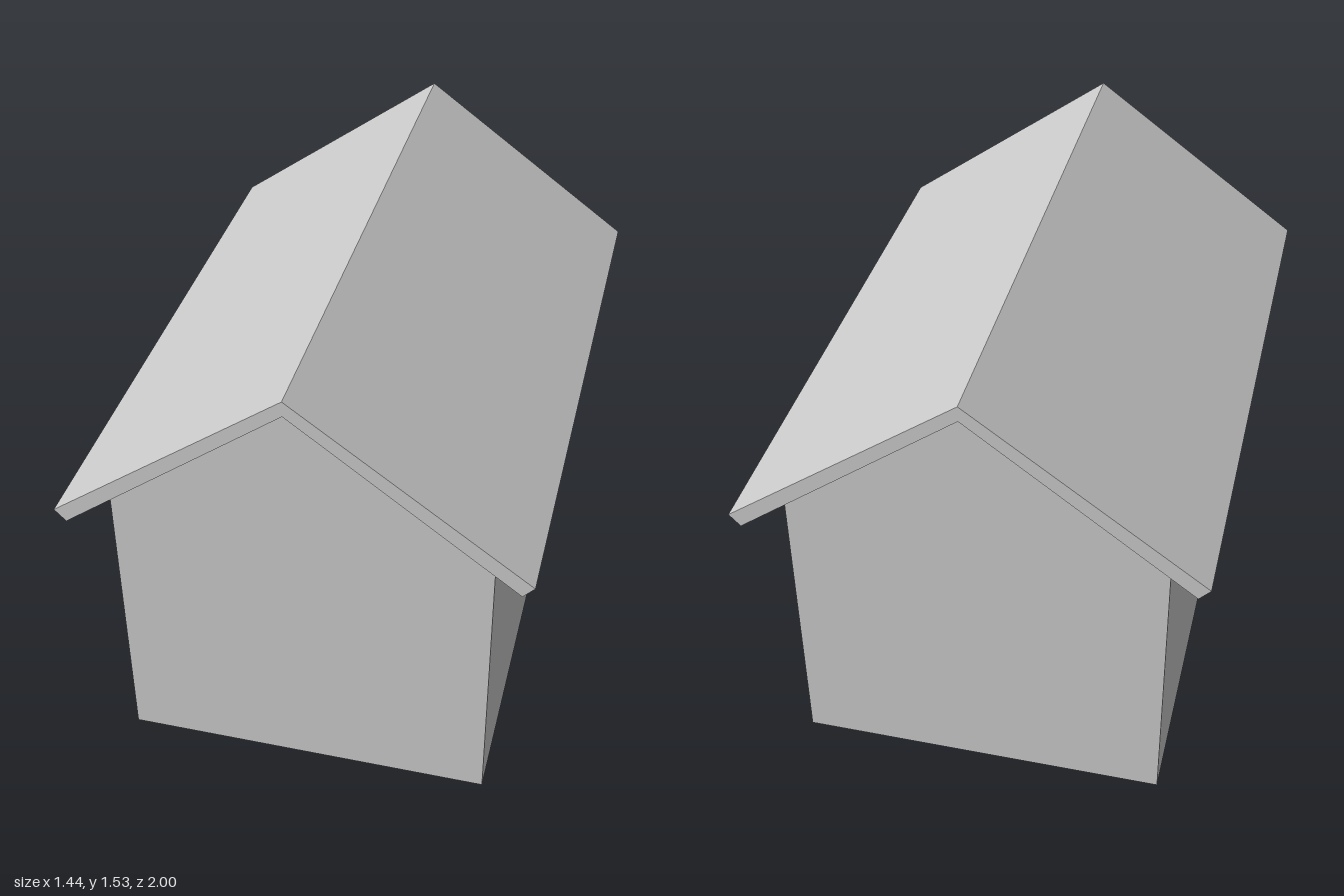
import * as THREE from 'three';

const material = new THREE.MeshStandardMaterial({ color: 0xcccccc, flatShading: true });

// Extrude a front outline evenly to both sides of z = 0
function prism(name, points, depth) {
  const shape = new THREE.Shape(points.map(([x, y]) => new THREE.Vector2(x, y)));
  const geometry = new THREE.ExtrudeGeometry(shape, { depth, bevelEnabled: false });
  geometry.translate(0, 0, -depth / 2);
  const mesh = new THREE.Mesh(geometry, material);
  mesh.name = name;
  return mesh;
}

export function createModel() {
  const model = new THREE.Group();
  model.name = 'house';

  // Solid walls with gable ends
  model.add(prism('walls', [
    [-0.59, 0], [0.59, 0], [0.59, 1.037], [0, 1.48], [-0.59, 1.037],
  ], 1.77));

  // Pitched roof slab, overhanging on all sides
  model.add(prism('roof', [
    [0, 1.53], [-0.72, 1.005], [-0.685, 0.967], [0, 1.48], [0.685, 0.967], [0.72, 1.005],
  ], 2));

  return model;
}
